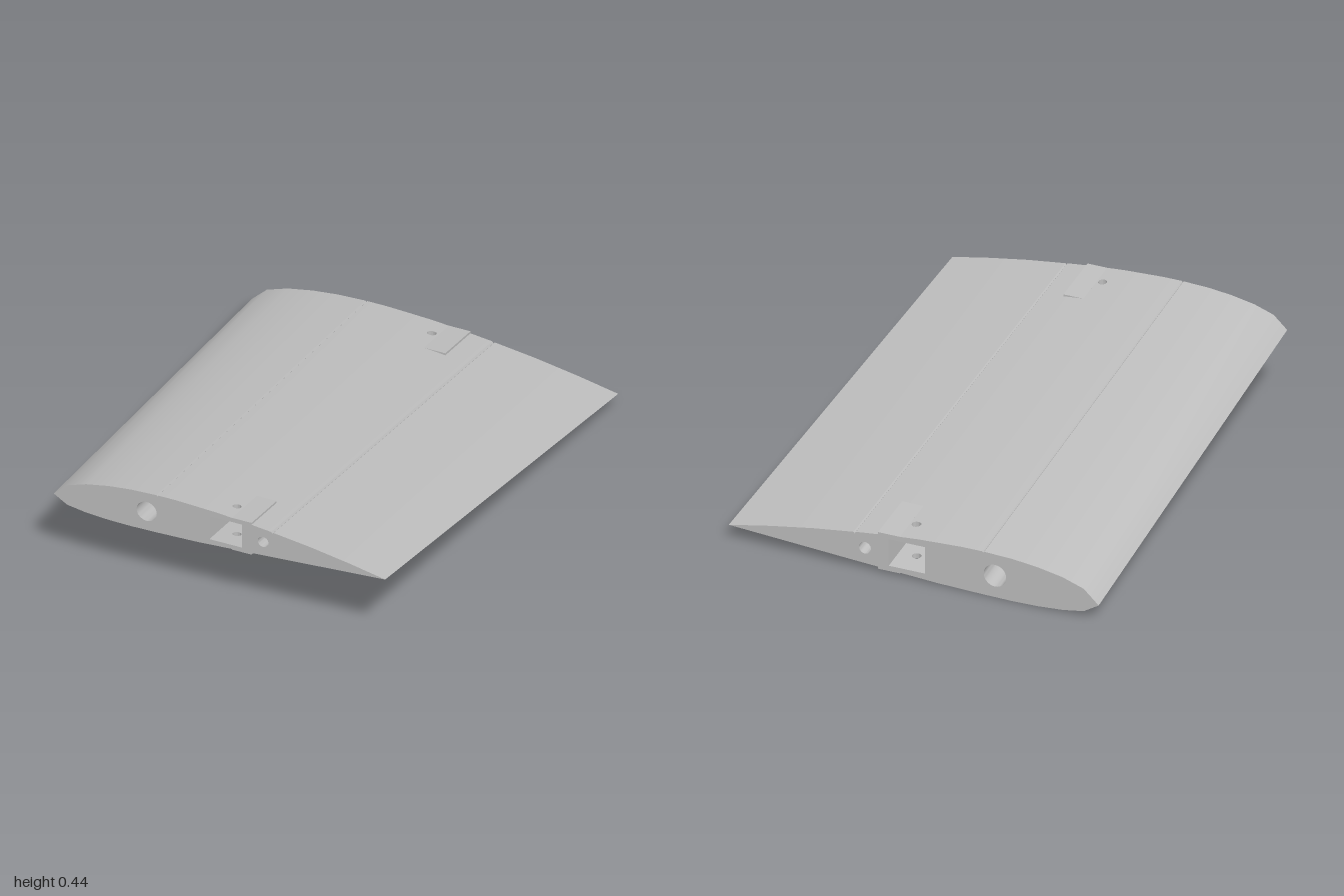
import * as THREE from 'three';
import { mergeGeometries, toCreasedNormals } from 'three/addons/utils/BufferGeometryUtils.js';

// Upper and lower outline of the wing section, leading edge to trailing edge
const UPPER = [[-0.745, 0.315], [-0.685, 0.371], [-0.6, 0.4], [-0.5, 0.419], [-0.4, 0.43], [-0.287, 0.4345],
  [-0.283, 0.430], [-0.279, 0.4347], [-0.2, 0.4345], [-0.1, 0.43], [-0.02, 0.426], [0.09, 0.4165], [0.226, 0.401],
  [0.231, 0.394], [0.236, 0.399], [0.4, 0.377], [0.57, 0.348], [0.735, 0.315]];
const LOWER = [[-0.745, 0.315], [-0.685, 0.278], [-0.6, 0.264], [-0.5, 0.257], [-0.4, 0.255], [-0.275, 0.257],
  [-0.1, 0.262], [0.23, 0.282], [0.735, 0.315]];
const POCKET = { x0: -0.05, x1: 0.095, y0: 0.29, y1: 0.4, depth: 0.23 };
const SCREW = { x: 0.025, z: 0.9, r: 0.018 };
const SPARS = [['mainSparTube', -0.33, 0.345, 0.045], ['rearSparTube', 0.19, 0.343, 0.024]];

// Taper and slope: places a point of the front section at depth z
function loft(geo) {
  const p = geo.attributes.position;
  for (let i = 0; i < p.count; i++) {
    const z = p.getZ(i), t = (1 - z) / 2, s = 1 + 0.105 * t;
    p.setXYZ(i, p.getX(i) * s + 0.004 * t, (p.getY(i) - 0.315) * s + 0.315 - 0.249 * t, z);
  }
  return geo;
}

function finish(geo, crease = 0.5) {
  geo = geo.index ? geo.toNonIndexed() : geo;
  geo.deleteAttribute('uv');
  geo.deleteAttribute('normal');
  geo.computeVertexNormals();
  return toCreasedNormals(loft(geo), crease);
}

function polygon(points) {
  return new THREE.Shape(points.map(([x, y]) => new THREE.Vector2(x, y)));
}

function punch(shape, x, y, r) {
  shape.holes.push(new THREE.Path().absarc(x, y, r, 0, Math.PI * 2, true));
}

function reverse(geo) {
  const a = geo.index.array;
  for (let i = 0; i < a.length; i += 3) [a[i], a[i + 1]] = [a[i + 1], a[i]];
  return geo;
}

// Strip between two section points, from z0 to z1, with any screw holes it contains
function strip([xa, ya], [xb, yb], z0, z1, facesUp) {
  const shape = polygon([[xa, z0], [xb, z0], [xb, z1], [xa, z1]]);
  if (xa < SCREW.x && xb > SCREW.x) {
    for (const z of [-SCREW.z, SCREW.z]) if (z > z0 && z < z1) punch(shape, SCREW.x, z, SCREW.r);
  }
  const geo = new THREE.ShapeGeometry(shape, 16), p = geo.attributes.position;
  for (let i = 0; i < p.count; i++) {
    const x = p.getX(i), z = p.getY(i);
    p.setXYZ(i, x, ya + (yb - ya) * (x - xa) / (xb - xa), z);
  }
  return facesUp ? reverse(geo) : geo;
}

function skin(points, facesUp) {
  return mergeGeometries(points.slice(1).map((b, i) => strip(points[i], b, -1, 1, facesUp)));
}

function heightAt(points, x) {
  const i = points.findIndex((p) => p[0] > x);
  const [xa, ya] = points[i - 1], [xb, yb] = points[i];
  return ya + (yb - ya) * (x - xa) / (xb - xa);
}

// End rib with the spar holes and the pocket opening
function rib(z) {
  const shape = polygon([...LOWER, ...UPPER.slice(1, -1).reverse()]);
  for (const [, x, y, r] of SPARS) punch(shape, x, y, r);
  const { x0, x1, y0, y1 } = POCKET;
  shape.holes.push(polygon([[x0, y0], [x0, y1], [x1, y1], [x1, y0]]));
  const geo = new THREE.ShapeGeometry(shape, 16).translate(0, 0, z);
  return z < 0 ? reverse(geo) : geo;
}

export function createModel() {
  const group = new THREE.Group();
  const material = new THREE.MeshStandardMaterial({ color: 0xbdbdbd, side: THREE.DoubleSide });
  material.name = 'light grey';
  const add = (name, geo, crease) => {
    const mesh = new THREE.Mesh(finish(geo, crease), material);
    mesh.name = name;
    group.add(mesh);
  };

  add('upperSkin', skin(UPPER, true));
  add('lowerSkin', skin(LOWER, false));

  // Round spar tubes running the whole span
  for (const [name, x, y, r] of SPARS) {
    add(name, new THREE.CylinderGeometry(r, r, 2, 32, 1, true).rotateX(Math.PI / 2).translate(x, y, 0));
  }

  const { x0, x1, y0, y1, depth } = POCKET;
  for (const [end, side] of [['front', 1], ['back', -1]]) {
    add(end + 'Rib', rib(side));

    // Joiner pocket: floor and ceiling with screw holes, two sides and an end wall
    const inner = side * (1 - depth), mid = side * (1 - depth / 2);
    const zs = [Math.min(inner, side), Math.max(inner, side)];
    const h = y1 - y0, yc = (y0 + y1) / 2;
    add(end + 'PocketFloor', strip([x0, y0], [x1, y0], ...zs, true));
    add(end + 'PocketCeiling', strip([x0, y1], [x1, y1], ...zs, false));
    for (const [x, turn] of [[x0, 1], [x1, -1]]) {
      add(end + 'PocketSide', new THREE.PlaneGeometry(depth, h).rotateY(turn * Math.PI / 2).translate(x, yc, mid));
    }
    add(end + 'PocketEnd', new THREE.PlaneGeometry(x1 - x0, h)
      .rotateY(side > 0 ? 0 : Math.PI).translate((x0 + x1) / 2, yc, inner));

    // Screw hole walls above and below the pocket
    for (const [a, b] of [[y1, heightAt(UPPER, SCREW.x)], [heightAt(LOWER, SCREW.x), y0]]) {
      add(end + 'ScrewHole', new THREE.CylinderGeometry(SCREW.r, SCREW.r, b - a, 32, 1, true)
        .translate(SCREW.x, (a + b) / 2, side * SCREW.z));
    }

    // Raised reinforcement pads, standing proud of the skin at their rear edge
    for (const [name, y] of [['UpperPad', 0.412], ['LowerPad', 0.276]]) {
      add(end + name, new THREE.BoxGeometry(0.088, 0.016, depth).translate(0.094, y, mid), 0.2);
    }
  }
  return group;
}
